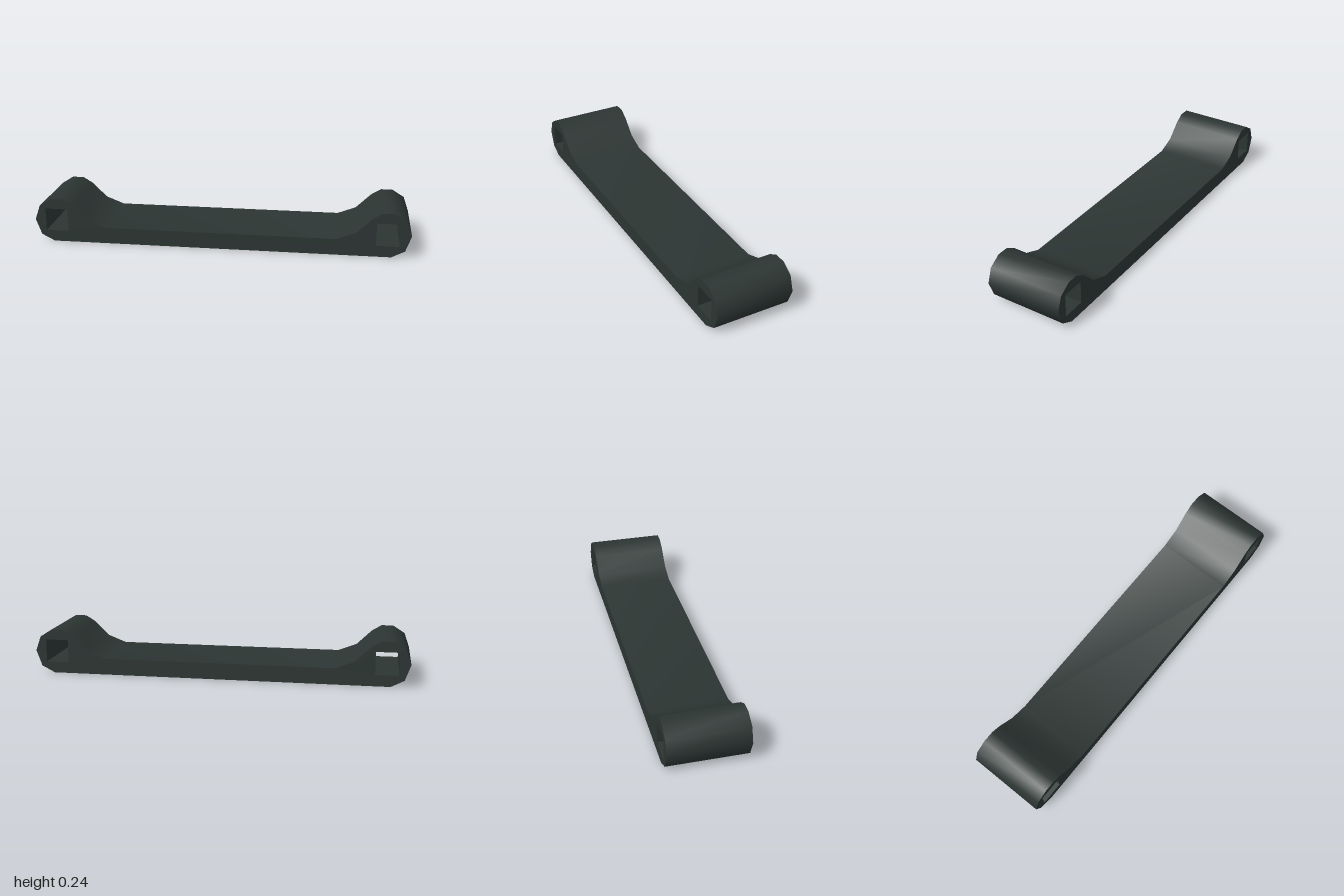
import * as THREE from 'three';
import { toCreasedNormals } from 'three/addons/utils/BufferGeometryUtils.js';

const DEPTH = 0.414;

export function createModel() {
  const group = new THREE.Group();
  group.name = 'linkBar';
  const darkGrey = new THREE.MeshStandardMaterial({ color: 0x2c3533 });
  darkGrey.name = 'darkGreyGreen';

  // Right half of the outline, from the underside round the end boss to the bar's top
  const half = [
    [0.9, 0], [0.97, 0.036], [1, 0.12], [0.973, 0.197], [0.91, 0.237],
    [0.847, 0.237], [0.795, 0.205], [0.713, 0.125], [0.615, 0.087],
  ];
  const mirrored = half.map(([x, y]) => [-x, y]).reverse();
  const shape = new THREE.Shape([...half, ...mirrored].map(([x, y]) => new THREE.Vector2(x, y)));

  // Square sockets through both end bosses
  for (const side of [-1, 1]) {
    const cx = side * 0.881, cy = 0.121, r = 0.061;
    shape.holes.push(new THREE.Path([[-r, -r], [-r, r], [r, r], [r, -r]]
      .map(([x, y]) => new THREE.Vector2(cx + x, cy + y))));
  }

  // Bar and bosses in one extrusion, rounded sides smooth and end faces sharp
  const geometry = new THREE.ExtrudeGeometry(shape, { depth: DEPTH, bevelEnabled: false });
  geometry.translate(0, 0, -DEPTH / 2);
  const bar = new THREE.Mesh(toCreasedNormals(geometry, 0.9), darkGrey);
  bar.name = 'barWithSockets';
  group.add(bar);
  return group;
}
